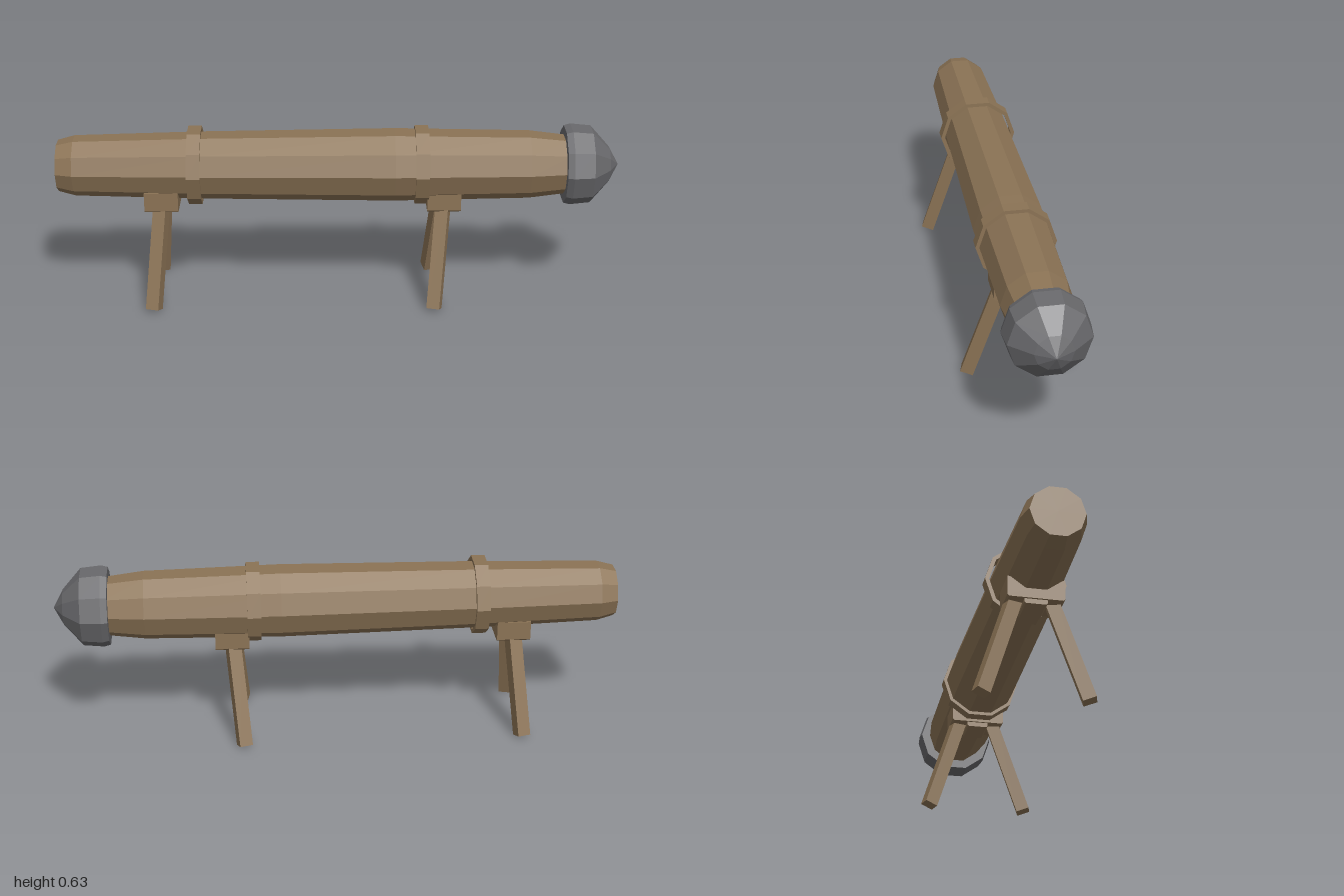
import * as THREE from 'three';

const wood = new THREE.MeshStandardMaterial({ color: 0x8b7355, flatShading: true });
wood.name = 'wood';
const iron = new THREE.MeshStandardMaterial({ color: 0x69696c, flatShading: true });
iron.name = 'iron';

const AXIS_Y = 0.493;

// Ten-sided turned part lying along x; profile is [x, radius] from back to tip
function turned(name, profile, material) {
  const points = profile.map(([x, r]) => new THREE.Vector2(r, x));
  const mesh = new THREE.Mesh(new THREE.LatheGeometry(points, 10).rotateZ(-Math.PI / 2), material);
  mesh.name = name;
  mesh.position.y = AXIS_Y;
  return mesh;
}

// Box with its lower edges drawn in by a small chamfer
function chamferedBlock(name, w, h, d, c, x, bottom) {
  const shape = new THREE.Shape();
  shape.moveTo(-d / 2 + c, 0);
  shape.lineTo(d / 2 - c, 0);
  shape.lineTo(d / 2, c);
  shape.lineTo(d / 2, h);
  shape.lineTo(-d / 2, h);
  shape.lineTo(-d / 2, c);
  const geometry = new THREE.ExtrudeGeometry(shape, { depth: w, bevelEnabled: false });
  geometry.translate(0, 0, -w / 2).rotateY(Math.PI / 2);
  const mesh = new THREE.Mesh(geometry, wood);
  mesh.name = name;
  mesh.position.set(x, bottom, 0);
  return mesh;
}

// Square leg splayed outward and slightly toward the back
function leg(name, x, side) {
  const holder = new THREE.Group();
  holder.name = name;
  holder.position.set(x, 0.0075, side * 0.178);
  holder.rotation.y = side > 0 ? -0.27 : Math.PI + 0.27;
  const post = new THREE.Mesh(new THREE.BoxGeometry(0.047, 0.39, 0.047).translate(0, 0.195, 0), wood);
  post.name = name + 'Post';
  post.rotation.x = -0.318;
  holder.add(post);
  return holder;
}

export function createModel() {
  const model = new THREE.Group();
  model.name = 'batteringRam';

  // Log
  model.add(turned('log', [
    [-1, 0], [-1, 0.092], [-0.94, 0.108], [-0.5, 0.12], [0.2, 0.13],
    [0.68, 0.121], [0.82, 0.104], [0.86, 0.1], [0.86, 0],
  ], wood));

  // Iron head
  model.add(turned('head', [
    [0.805, 0], [0.805, 0.139], [0.828, 0.145], [0.9, 0.138], [0.965, 0.065], [1, 0],
  ], iron));

  // Bands round the log
  for (const [name, x] of [['backBand', -0.511], ['frontBand', 0.296]]) {
    const h = 0.024;
    model.add(turned(name, [
      [x - h, 0.127], [x - h, 0.141], [x + h, 0.141], [x + h, 0.127], [x - h, 0.127],
    ], wood));
  }

  // Trestles: saddle, lower block and a pair of legs
  for (const [name, x] of [['back', -0.63], ['front', 0.375]]) {
    const trestle = new THREE.Group();
    trestle.name = name + 'Trestle';
    trestle.add(chamferedBlock(name + 'Saddle', 0.12, 0.073, 0.194, 0.006, x, 0.349));
    trestle.add(chamferedBlock(name + 'LowerBlock', 0.106, 0.025, 0.078, 0.005, x, 0.332));
    trestle.add(leg(name + 'LeftLeg', x - 0.033, 1));
    trestle.add(leg(name + 'RightLeg', x - 0.033, -1));
    model.add(trestle);
  }

  return model;
}
